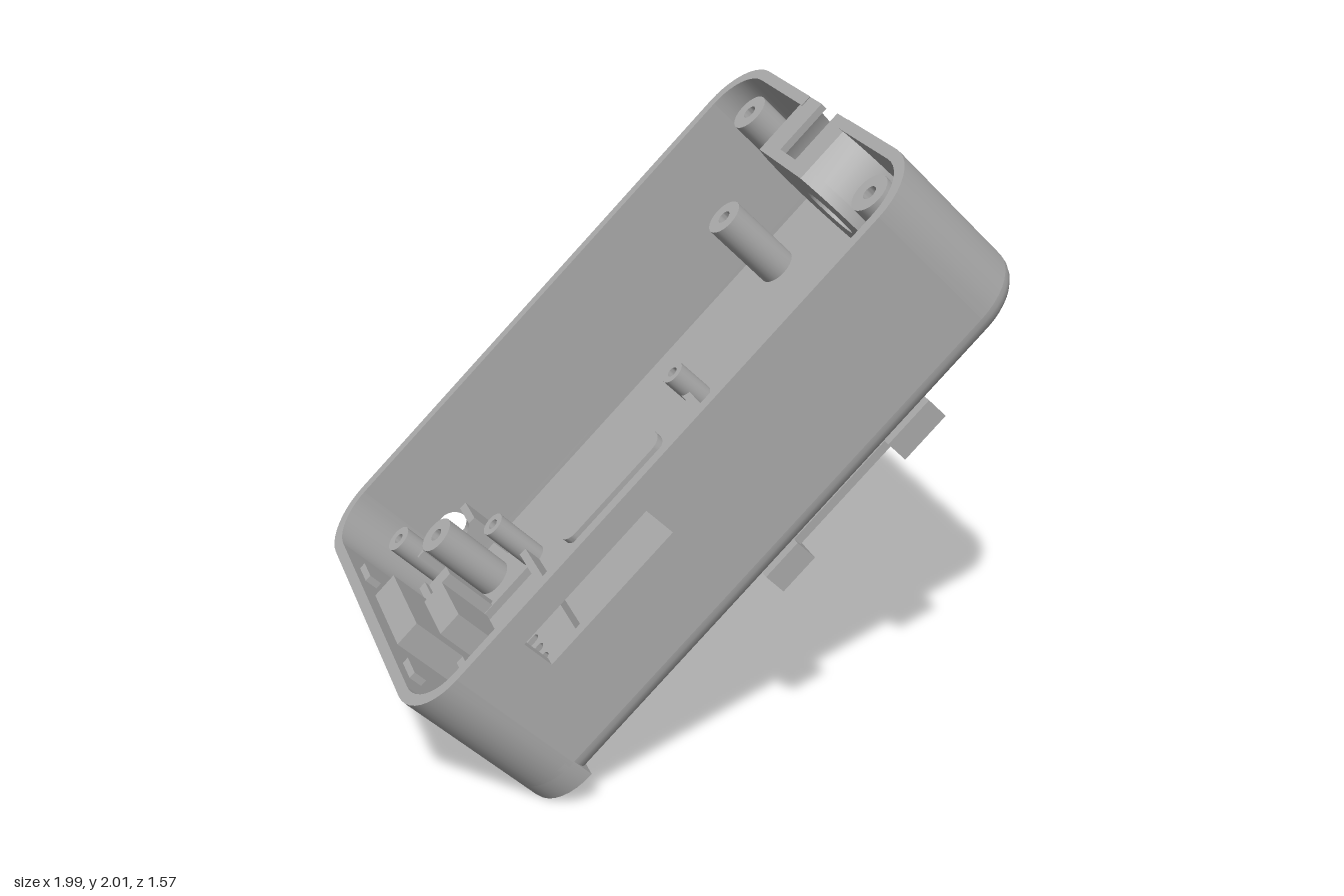
import * as THREE from 'three';
import { toCreasedNormals } from 'three/addons/utils/BufferGeometryUtils.js';

// Case frame before tilting: x = length, y = depth (open side up), z = width.
// Plan shapes use v = -z so that extrusions keep their handedness.
const S0 = -0.424, S1 = 1.846, V0 = -0.78, V1 = 0.675, VC = -0.0525;
const BOT = 0.41, FLOOR = 0.46, RIM = 0.99, R = 0.2, F = 0.07, W = 0.04;
const PT = 0.745, PR = 0.28; // round pocket: centre depth and radius

export function createModel() {
  const grey = new THREE.MeshStandardMaterial({ color: 0xaaaaaa });
  grey.name = 'grey plastic';
  const root = new THREE.Group();
  root.name = 'tiltedCase';
  const body = new THREE.Group();
  body.name = 'case';
  body.rotation.z = Math.PI / 4;
  root.add(body);

  const add = (name, geo) => {
    const m = new THREE.Mesh(toCreasedNormals(geo, 0.6), grey);
    m.name = name;
    body.add(m);
    return m;
  };
  const vec = (a) => a.map(([x, y]) => new THREE.Vector2(x, y));
  const arc = (cx, cy, r, a0, a1, n = 10) => Array.from({ length: n + 1 }, (_, i) => {
    const a = a0 + (a1 - a0) * i / n;
    return [cx + r * Math.cos(a), cy + r * Math.sin(a)];
  });
  const rect = (a, b, c, d) => [[a, c], [b, c], [b, d], [a, d]];
  // Rounded rectangle, corners in order (a,c) (b,c) (b,d) (a,d)
  const rounded = (a, b, c, d, r) => {
    const q = Math.PI / 2, [r0, r1, r2, r3] = Array.isArray(r) ? r : [r, r, r, r];
    return [
      ...arc(a + r0, c + r0, r0, 2 * q, 3 * q), ...arc(b - r1, c + r1, r1, 3 * q, 4 * q),
      ...arc(b - r2, d - r2, r2, 0, q), ...arc(a + r3, d - r3, r3, q, 2 * q)];
  };
  // Extrude a shape along 's' (points v,t), 't' (points s,v) or 'z' (points s,t)
  const slab = (axis, pts, from, to, holes = [], bevel = 0) => {
    const sh = new THREE.Shape(vec(pts));
    holes.forEach((h) => sh.holes.push(new THREE.Path(vec(h))));
    const g = new THREE.ExtrudeGeometry(sh, {
      depth: to - from, bevelEnabled: bevel > 0, bevelSize: bevel,
      bevelThickness: bevel, bevelOffset: -bevel, bevelSegments: 4 });
    g.translate(0, 0, from);
    if (axis === 's') g.rotateY(Math.PI / 2);
    if (axis === 't') g.rotateX(-Math.PI / 2);
    return g;
  };
  const circle = (x, y, r) => arc(x, y, r, 0, Math.PI * 2, 24).slice(0, -1);
  const box = (name, s0, s1, t0, t1, z0, z1) => {
    const g = new THREE.BoxGeometry(s1 - s0, t1 - t0, z1 - z0);
    g.translate((s0 + s1) / 2, (t0 + t1) / 2, (z0 + z1) / 2);
    return add(name, g);
  };
  // Surface from a grid of points; skip drops one column
  const grid = (nu, nv, fn, skip = -1) => {
    const p = [];
    for (let i = 0; i < nu; i++) {
      if (i === skip) continue;
      for (let k = 0; k < nv; k++) {
        const a = fn(i, k), b = fn(i + 1, k), c = fn(i + 1, k + 1), d = fn(i, k + 1);
        p.push(...a, ...b, ...c, ...a, ...c, ...d);
      }
    }
    const g = new THREE.BufferGeometry();
    g.setAttribute('position', new THREE.Float32BufferAttribute(p, 3));
    return g;
  };
  const strip = (levels, skip) => {
    const loops = levels.map(([d]) => rounded(S0 + d, S1 - d, V0 + d, V1 - d, R - d));
    const n = loops[0].length;
    return grid(n, levels.length - 1, (i, k) => {
      const [s, v] = loops[k][i % n];
      return [s, levels[k][1], -v];
    }, skip);
  };

  // Floor with screw holes, vents and nut hole
  const bosses = [[-0.155, 0.75], [1.372, 0.75], [1.697, 0.95]];
  const holes = [circle(1.02, -0.57, 0.035)];
  for (const [s] of bosses) for (const z of [-0.455, 0.565]) holes.push(circle(s, -z, 0.048));
  for (let i = 0; i < 5; i++) {
    const v = -0.185 + i * 0.064;
    holes.push(rounded(-0.28, -0.12, v - 0.017, v + 0.017, 0.015));
  }
  add('floor', slab('t', rounded(S0 + F, S1 - F, V0 + F, V1 - F, R - F), BOT, FLOOR, holes));

  // Rounded lower edge, left out below the pocket, and its inner side
  const fillet = Array.from({ length: 7 }, (_, k) => {
    const a = k / 6 * Math.PI / 2;
    return [F * (1 - Math.sin(a)), BOT + F - F * Math.cos(a)];
  });
  add('lowerEdge', strip(fillet, 21));
  add('innerEdge', strip([[W, BOT + F], [W, FLOOR], [F, FLOOR]], 21));
  add('pocketLowerEdge', grid(48, 6, (i, k) => {
    const v = V0 + R + (V1 - V0 - 2 * R) * i / 48;
    const low = PT - Math.sqrt(Math.max(0, PR * PR - (v - VC) ** 2));
    const a = Math.acos((BOT + F - Math.min(BOT + F, low)) / F) * k / 6;
    return [S1 - F + F * Math.sin(a), BOT + F - F * Math.cos(a), -v];
  }));

  // Upright walls and round corners
  const T0 = BOT + F, side = rect(S0 + R, S1 - R, T0, RIM);
  add('frontWall', slab('z', side, 0.74, 0.78, [rect(-0.014, 0.535, 0.78, 0.9)]));
  add('backWall', slab('z', side, -0.675, -0.635, [circle(-0.13, 0.63, 0.06)]));
  add('lowerEndWall', slab('s', rect(V0 + R, V1 - R, T0, RIM), S0, S0 + W));
  [[S0 + R, V0 + R, 2], [S1 - R, V0 + R, 3], [S1 - R, V1 - R, 0], [S0 + R, V1 - R, 1]].forEach(([s, v, q]) => {
    const a = q * Math.PI / 2, b = a + Math.PI / 2;
    add('cornerWall', slab('t', [...arc(s, v, R, a, b), ...arc(s, v, R - W, b, a)], T0, RIM));
  });

  // Upper end wall on both sides of the pocket, in two layers
  for (const [t0, s0, s1] of [[FLOOR, S1 - W, S1 - 0.02], [T0, S1 - 0.02, S1]]) {
    for (const k of [-1, 1]) {
      const r = PR + 0.01, edge = k > 0 ? V1 - R : V0 + R;
      const curve = arc(0, PT, r, Math.asin((t0 - PT) / r), Math.asin((RIM - PT) / r), 24)
        .map(([x, y]) => [VC + k * x, y]);
      add('upperEndWall', slab('s', [[edge, t0], ...curve, [edge, RIM]], s0, s1));
    }
  }

  // Round pocket cup with a slot in its ceiling
  const ro = 0.3, b = Math.asin((0.985 - PT) / ro), a = Math.asin((0.96 - PT) / PR);
  const outer = arc(VC, PT, ro, b, -Math.PI - b, 40);
  const cup = slab('s', [[VC + 0.065, 0.985], ...outer, [VC - 0.065, 0.985], [VC - 0.065, 0.96],
    ...arc(VC, PT, PR, -Math.PI - a, a, 40), [VC + 0.065, 0.96]], 1.646, S1);
  const cp = cup.attributes.position;
  for (let i = 0; i < cp.count; i++) {
    const d = Math.max(0, T0 - cp.getY(i));
    cp.setX(i, Math.min(cp.getX(i), S1 - F + Math.sqrt(F * F - d * d)));
  }
  add('pocketWall', cup);
  add('pocketFloor', slab('s', outer, 1.606, 1.646, [circle(VC, 0.725, 0.1)]));

  // Foot around the lower end, trimmed to the ground
  const foot = slab('t', [...rounded(S0, -0.22, V0, V1, [R, 0, 0, R]).slice(0, 22), [-0.22, V0 + 0.1], [-0.31, V0 + 0.2],
    [-0.31, V1 - 0.2], [-0.22, V1 - 0.1], ...rounded(S0, -0.22, V0, V1, [R, 0, 0, R]).slice(22)], 0.4, 0.5);
  const fp = foot.attributes.position;
  for (let i = 0; i < fp.count; i++) fp.setY(i, Math.max(fp.getY(i), -fp.getX(i)));
  add('foot', foot);
  add('portBump', slab('z', [[S0, -S0], [-0.48, 0.48], [-0.48, 0.61], [-0.445, 0.645], [S0, 0.645]], -0.13, 0.23));

  // Side bump on the back wall
  add('sideBump', slab('z', rounded(0.04, 0.75, 0.455, 0.745, 0.06), -0.745, -0.68, [], 0.04));

  // Mounting plate under the floor, with a channel open to the front
  const plate = [[0.61, -0.78], [0.755, -0.78], [0.755, 0.05], [1.17, 0.05], [1.17, -0.78], [1.355, -0.78],
    [1.355, -0.61], [1.29, -0.61], [1.27, -0.57], [1.29, -0.53], [1.355, -0.53],
    ...rounded(0.61, 1.355, -0.78, 0.175, 0.1).slice(22)];
  add('mountPlate', slab('t', plate, 0.335, BOT + 0.01));
  add('mountChannel', slab('t', rect(0.74, 1.18, -0.745, 0.06), 0.385, BOT + 0.005, [circle(1.02, -0.57, 0.035)]));

  // Hollow posts
  const post = (name, s, z, top, r, hole, seat = hole, sides = 24) => {
    const g = new THREE.LatheGeometry(vec([[r, FLOOR], [r, top], [hole, top], [hole, 0.5], [seat, 0.5], [seat, FLOOR]]), sides);
    g.translate(s, 0, z);
    return add(name, g);
  };
  for (const [s, top] of bosses) for (const z of [-0.455, 0.565]) post('screwPost', s, z, top, 0.07, 0.025, 0.048);
  post('smallPost', 0.02, -0.34, 0.67, 0.045, 0.02);
  post('smallPost', 0.85, -0.225, 0.61, 0.045, 0.02);
  post('cornerPost', -0.27, -0.56, 0.8, 0.05, 0.02);
  post('nutHolder', 1.02, 0.57, 0.56, 0.1, 0.075, 0.035);

  // Ribs, pads and brackets on the floor
  box('rib', 0, 0.03, FLOOR, 0.53, -0.38, 0.47);
  box('rib', 0.81, 0.84, FLOOR, 0.53, -0.37, 0.47);
  for (const v of [-0.37, 0.245]) add('floorPad', slab('t', rounded(0.15, 0.65, v - 0.06, v + 0.06, 0.05), FLOOR, 0.485));
  box('nutBlock', 1.12, 1.2, FLOOR, 0.6, 0.46, 0.64);
  box('cableBracket', -0.06, -0.03, FLOOR, 0.66, -0.64, -0.5);
  box('cableBracket', -0.27, -0.24, FLOOR, 0.72, -0.64, -0.5);

  // Port housing, board holder and lid catches at the lower end
  box('portHousing', -0.39, -0.29, 0.5, 0.93, -0.13, 0.23);
  box('portPlug', -0.29, -0.2, 0.58, 0.8, -0.08, 0.16);
  box('boardHolder', -0.32, -0.29, FLOOR, 0.72, -0.33, 0.43);
  for (const z of [-0.3, 0.4]) {
    box('holderArm', -0.3, -0.2, FLOOR, 0.7, z - 0.03, z + 0.03);
    box('boardRail', -0.3, -0.01, FLOOR, 0.49, z * 0.92 - 0.01, z * 0.92 + 0.01);
    box('lidCatch', -0.39, -0.36, 0.9, 0.95, z - 0.02, z + 0.08);
  }
  return root;
}
